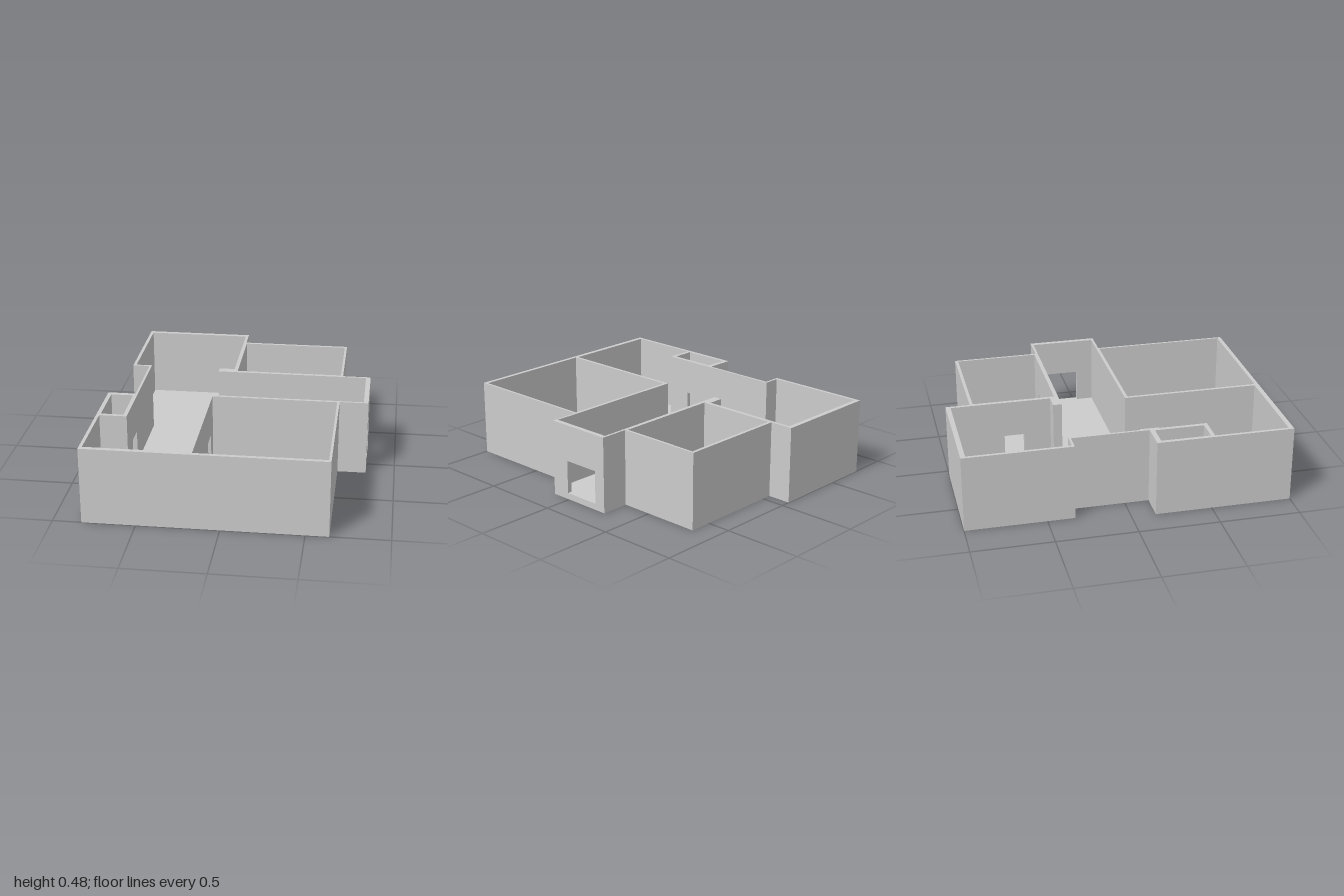
import * as THREE from 'three';
import { mergeGeometries } from 'three/addons/utils/BufferGeometryUtils.js';

const TOP = 0.48, FLOOR = 0.04, LINTEL = 0.25;

// Plan outlines as [x, z]; the walls fill the space between outline and rooms.
const outline = [
  [-0.76, -0.33], [-0.65, -0.33], [-0.65, 0.15], [-0.825, 0.15], [-0.825, 1], [0.64, 1], [0.64, 0.13],
  [0.82, 0.13], [0.82, -0.305], [0.64, -0.305], [0.64, -0.85], [-0.06, -0.85], [-0.06, -1], [-0.76, -1],
];
const rect = (x0, x1, z0, z1) => [[x0, z0], [x1, z0], [x1, z1], [x0, z1]];
const rooms = {
  hall: [
    [-0.74, -0.97], [-0.08, -0.97], [-0.08, -0.345], [-0.18, -0.345], [-0.18, -0.29], [0.79, -0.29], [0.79, 0.115],
    [-0.18, 0.115], [-0.18, 0.97], [-0.805, 0.97], [-0.805, 0.51], [-0.635, 0.51], [-0.635, -0.345], [-0.74, -0.345],
  ],
  backRoom: rect(-0.055, 0.625, -0.83, -0.315),
  frontRoom: rect(-0.16, 0.625, 0.135, 0.975),
  closet: rect(-0.8, -0.66, 0.18, 0.485),
};

// Openings cut through a wall; axis is the direction of passage.
const doorways = [
  { name: 'entranceDoorway', axis: 'x', x: [0.79, 0.82], z: [-0.23, 0.01] },
  { name: 'frontRoomDoorway', axis: 'x', x: [-0.18, -0.16], z: [0.215, 0.345] },
  { name: 'closetDoorway', axis: 'x', x: [-0.66, -0.635], z: [0.22, 0.355] },
  { name: 'backRoomSideDoorway', axis: 'x', x: [-0.08, -0.055], z: [-0.64, -0.515] },
  { name: 'backRoomDoorway', axis: 'z', x: [0.28, 0.51], z: [-0.315, -0.29] },
];

const vectors = (points, sign = 1) => points.map(([x, z]) => new THREE.Vector2(x, sign * z));

// Span of a doorway along the wall edge a-b, or null when it does not cut it
function cut(door, a, b) {
  const [across, along] = door.axis === 'x' ? [0, 1] : [1, 0];
  const depth = door[door.axis], span = along ? door.z : door.x;
  if (a[across] !== b[across] || !depth.includes(a[across])) return null;
  if (span[0] < Math.min(a[along], b[along]) || span[1] > Math.max(a[along], b[along])) return null;
  return span.map((s) => Math.abs(s - a[along])).sort((p, q) => p - q);
}

// Upright wall face from a to b, with its doorways left open
function panel(a, b, base) {
  const dx = b[0] - a[0], dz = b[1] - a[1], length = Math.hypot(dx, dz);
  const spans = doorways.map((d) => cut(d, a, b)).filter(Boolean).sort((p, q) => p[0] - q[0]);
  const points = [[0, base]], holes = [];
  for (const [s, e] of spans) {
    const corners = [[s, FLOOR], [s, LINTEL], [e, LINTEL], [e, FLOOR]];
    if (base === FLOOR) points.push(...corners);
    else holes.push(new THREE.Path(vectors(corners)));
  }
  points.push([length, base], [length, TOP], [0, TOP]);
  const shape = new THREE.Shape(vectors(points));
  shape.holes = holes;
  return new THREE.ShapeGeometry(shape).rotateY(Math.atan2(-dz, dx)).translate(a[0], 0, a[1]);
}

const wallLoop = (loop, base) =>
  mergeGeometries(loop.map((a, i) => panel(a, loop[(i + 1) % loop.length], base)));

// Jambs, lintel and threshold: a box turned inside out without its two ends
function reveal({ axis, x, z }) {
  const box = new THREE.BoxGeometry(x[1] - x[0], LINTEL - FLOOR, z[1] - z[0]);
  const open = axis === 'x' ? [0, 1] : [4, 5];
  const index = [...box.index.array].filter((_, i) => !open.includes(Math.floor(i / 6)));
  box.setIndex(index.reverse());
  box.computeVertexNormals();
  return box.translate((x[0] + x[1]) / 2, (FLOOR + LINTEL) / 2, (z[0] + z[1]) / 2);
}

// Level surface facing up
const flat = (shape, y) => new THREE.ShapeGeometry(shape).rotateX(-Math.PI / 2).translate(0, y, 0);

export function createModel() {
  const group = new THREE.Group();
  const material = new THREE.MeshStandardMaterial({ color: 0xcccccc });
  const add = (name, geometry) => {
    const mesh = new THREE.Mesh(geometry, material);
    mesh.name = name;
    group.add(mesh);
  };

  // Outside walls, underside and the flat wall tops
  add('outerWalls', wallLoop(outline, 0));
  add('underside', new THREE.ShapeGeometry(new THREE.Shape(vectors(outline))).rotateX(Math.PI / 2));
  const rim = new THREE.Shape(vectors(outline, -1));
  rim.holes = Object.values(rooms).map((loop) => new THREE.Path(vectors(loop, -1)));
  add('wallTops', flat(rim, TOP));

  // Room linings and floors
  for (const [name, loop] of Object.entries(rooms)) {
    add(`${name}Walls`, wallLoop(loop, FLOOR));
    add(`${name}Floor`, flat(new THREE.Shape(vectors(loop, -1)), FLOOR));
  }

  for (const door of doorways) add(door.name, reveal(door));
  return group;
}
